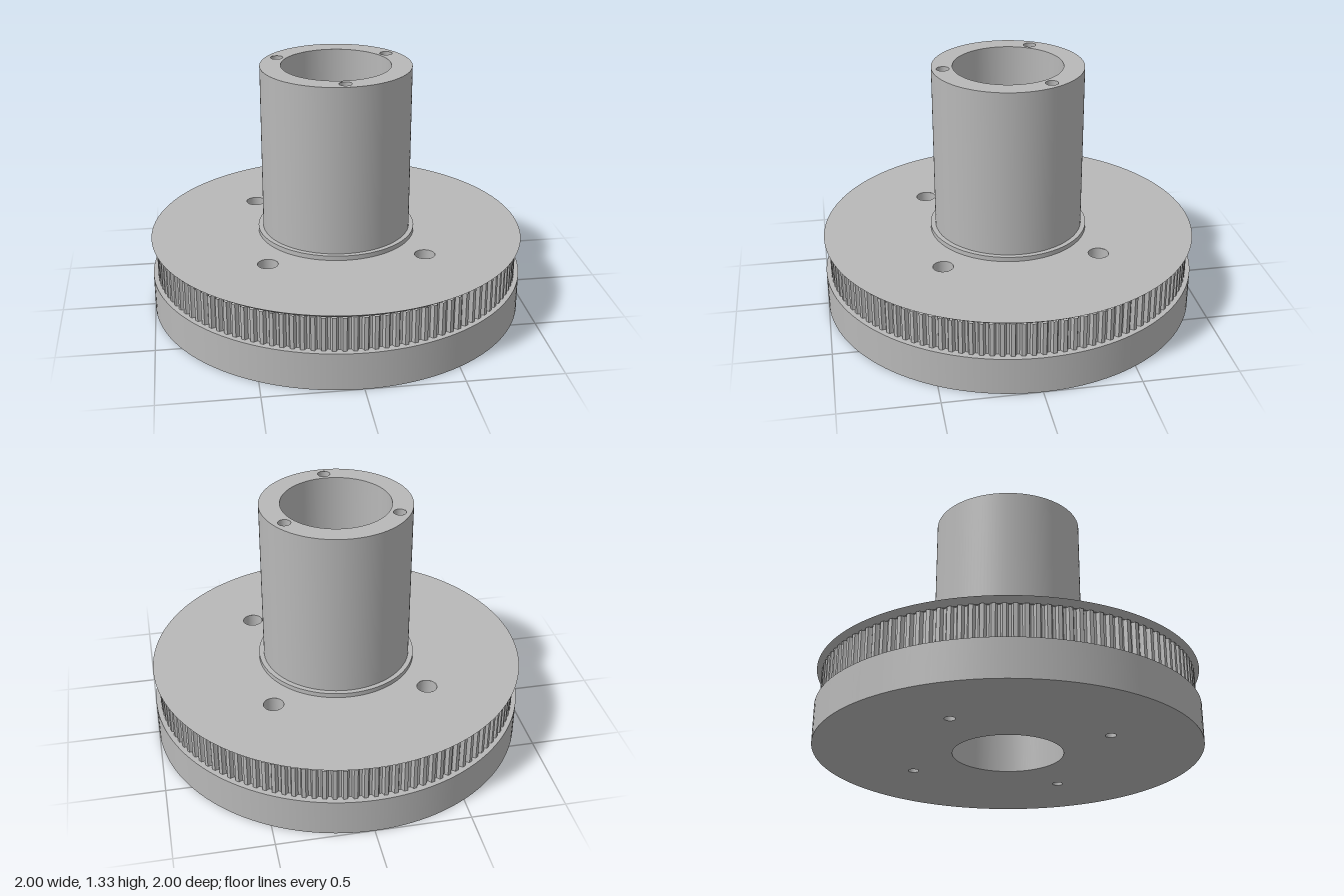
import * as THREE from 'three';

const SEG = 128, BORE = 0.287, BASE_R = 1, COLLAR_R = 0.422, TUBE_R = 0.396;
const BASE_Y = 0.2, TEETH_Y = 0.38, PLATE_Y = 0.405, COLLAR_Y = 0.43, TOP_Y = 1.325;
const TEETH = 120, TIP_R = 0.975, ROOT_R = 0.956;

export function createModel() {
  const group = new THREE.Group();
  const metal = new THREE.MeshStandardMaterial({ color: 0xb8b8b8, side: THREE.DoubleSide });
  metal.name = 'grey metal';

  const add = (name, geometry, x = 0, y = 0, z = 0) => {
    const mesh = new THREE.Mesh(geometry, metal);
    mesh.name = name;
    mesh.position.set(x, y, z);
    group.add(mesh);
  };

  // Open round wall between two heights
  const wall = (name, r, y0, y1, x = 0, z = 0, seg = SEG) =>
    add(name, new THREE.CylinderGeometry(r, r, y1 - y0, seg, 1, true), x, (y0 + y1) / 2, z);

  // Flat disc with round holes given as [x, z, radius]
  const face = (name, r, y, holes, up = true, extra = []) => {
    const shape = new THREE.Shape().absarc(0, 0, r, 0, Math.PI * 2);
    for (const [x, z, hr] of holes) {
      shape.holes.push(new THREE.Path().absarc(x, up ? -z : z, hr, 0, Math.PI * 2, true));
    }
    shape.holes.push(...extra);
    const geometry = new THREE.ShapeGeometry(shape, 64);
    geometry.rotateX(up ? -Math.PI / 2 : Math.PI / 2);
    add(name, geometry, 0, y, 0);
  };

  const bolts = [[1, 1], [1, -1], [-1, 1], [-1, -1]].map(([a, b]) => [a * 0.408, b * 0.408]);
  const pins = [0, 1, 2].map((i) => {
    const a = (i * Math.PI * 2) / 3;
    return [Math.sin(a) * 0.338, Math.cos(a) * 0.338];
  });

  // Toothed outline: flat land, then a rounded groove
  const outline = [];
  for (let i = 0; i < TEETH; i++) {
    for (const [t, r] of [[0, TIP_R], [0.38, TIP_R], [0.46, 0.964], [0.56, ROOT_R], [0.82, ROOT_R], [0.92, 0.964]]) {
      const a = ((i + t) / TEETH) * Math.PI * 2;
      outline.push(new THREE.Vector2(Math.cos(a) * r, Math.sin(a) * r));
    }
  }

  // Base disc
  face('baseUnderside', BASE_R, 0, [[0, 0, BORE], ...bolts.map(([x, z]) => [x, z, 0.028])], false);
  wall('baseRim', BASE_R, 0, BASE_Y);
  face('baseLedge', BASE_R, BASE_Y, [], true, [new THREE.Path(outline)]);

  // Belt teeth, swept straight up
  const positions = [];
  outline.forEach((p, i) => {
    const q = outline[(i + 1) % outline.length];
    const a = [p.x, BASE_Y, -p.y], b = [q.x, BASE_Y, -q.y];
    const c = [q.x, TEETH_Y, -q.y], d = [p.x, TEETH_Y, -p.y];
    positions.push(...a, ...b, ...c, ...a, ...c, ...d);
  });
  const teeth = new THREE.BufferGeometry();
  teeth.setAttribute('position', new THREE.Float32BufferAttribute(positions, 3));
  teeth.computeVertexNormals();
  add('beltTeeth', teeth);

  // Flange with bevelled underside
  face('flangeTop', BASE_R, PLATE_Y, [[0, 0, COLLAR_R], ...bolts.map(([x, z]) => [x, z, 0.053])]);
  add('flangeBevel', new THREE.CylinderGeometry(BASE_R, 0.965, PLATE_Y - TEETH_Y, SEG, 1, true), 0, (PLATE_Y + TEETH_Y) / 2);
  const lip = new THREE.RingGeometry(ROOT_R - 0.004, 0.965, SEG);
  lip.rotateX(Math.PI / 2);
  add('flangeLip', lip, 0, TEETH_Y, 0);

  // Counterbored bolt holes
  for (const [x, z] of bolts) {
    wall('boltCounterbore', 0.053, BASE_Y, PLATE_Y, x, z, 32);
    wall('boltHole', 0.028, 0, BASE_Y, x, z, 32);
    const seat = new THREE.RingGeometry(0.028, 0.053, 32);
    seat.rotateX(-Math.PI / 2);
    add('boltSeat', seat, x, BASE_Y, z);
  }

  // Collar and hollow tube
  wall('collarRim', COLLAR_R, PLATE_Y, COLLAR_Y);
  face('collarTop', COLLAR_R, COLLAR_Y, [[0, 0, TUBE_R]]);
  wall('tubeOuter', TUBE_R, COLLAR_Y, TOP_Y);
  wall('tubeBore', BORE, 0, TOP_Y);
  face('tubeTop', TUBE_R, TOP_Y, [[0, 0, BORE], ...pins.map(([x, z]) => [x, z, 0.033])]);

  // Blind holes in the tube end
  for (const [x, z] of pins) {
    wall('pinHole', 0.033, TOP_Y - 0.25, TOP_Y, x, z, 32);
    const floor = new THREE.CircleGeometry(0.033, 32);
    floor.rotateX(-Math.PI / 2);
    add('pinHoleFloor', floor, x, TOP_Y - 0.25, z);
  }

  return group;
}
